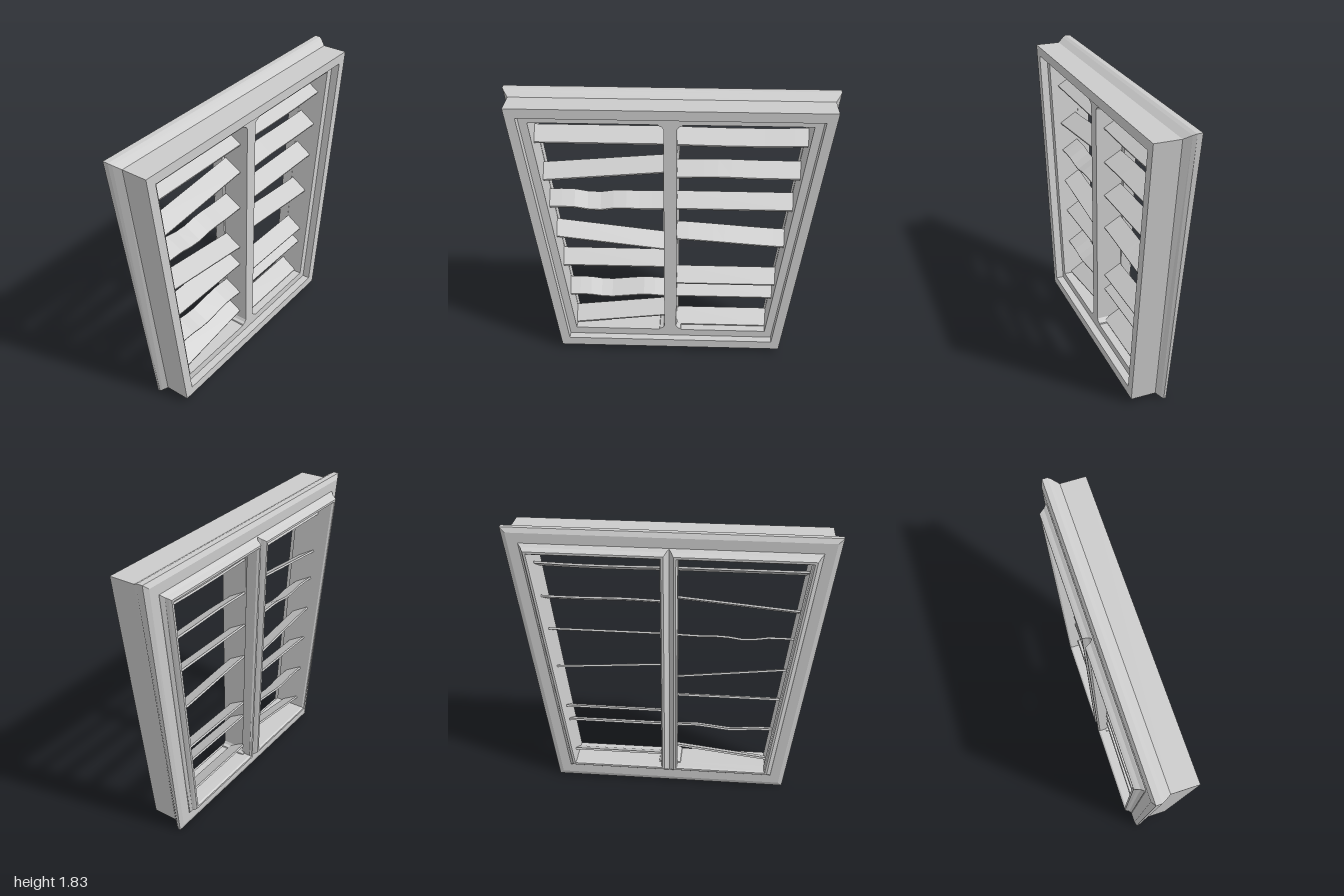
import * as THREE from 'three';

const material = new THREE.MeshStandardMaterial({ color: 0xcccccc, flatShading: true });
const TOP = 1.795, BOTTOM = 0.035, SLOPE = 0.1275;

// Half width of the tapered frame at height y, moved inward by d
const halfWidth = (y, d) => 0.735 + SLOPE * (y - BOTTOM) - d * 1.008;

// Skin a list of equal cross-sections; each cross-section is a closed loop
function loft(sections, closed) {
  const positions = [];
  const count = closed ? sections.length : sections.length - 1;
  for (let i = 0; i < count; i++) {
    const s = sections[i], t = sections[(i + 1) % sections.length];
    for (let j = 0; j < s.length; j++) {
      const k = (j + 1) % s.length;
      positions.push(...s[j], ...t[k], ...t[j], ...s[j], ...s[k], ...t[k]);
    }
  }
  const geometry = new THREE.BufferGeometry();
  geometry.setAttribute('position', new THREE.Float32BufferAttribute(positions, 3));
  geometry.computeVertexNormals();
  return geometry;
}

// Mitred frame: profile points are [inset, z at the top, z at the bottom]
function mitredFrame(profile, outline) {
  const sections = [0, 1, 2, 3].map((corner) => profile.map(([d, zTop, zBottom]) => {
    const [x, y] = outline(d)[corner];
    return [x, y, THREE.MathUtils.mapLinear(y, BOTTOM, TOP, zBottom, zTop)];
  }));
  return loft(sections, true);
}

// Corners run counter-clockwise from bottom left
function fullOutline(d) {
  const yb = BOTTOM + d, yt = TOP - d;
  const xb = halfWidth(yb, d), xt = halfWidth(yt, d);
  return [[-xb, yb], [xb, yb], [xt, yt], [-xt, yt]];
}

function halfOutline(side, d) {
  const [, br, tr] = fullOutline(d);
  const inner = Math.max(0, d - 0.06);
  return side > 0
    ? [[inner, br[1]], br, tr, [inner, tr[1]]]
    : [[-br[0], br[1]], [-inner, br[1]], [-inner, tr[1]], [-tr[0], tr[1]]];
}

// Tilted slat; heights are those of its upper back edge from left to right
function slat(side, heights) {
  const section = [[-0.05, 0], [0.06, -0.064], [0.055, -0.076], [-0.055, -0.012]];
  const curve = new THREE.SplineCurve(heights.map((h, i) => new THREE.Vector2(i / (heights.length - 1), h)));
  const steps = heights.length > 2 ? 9 : 1;
  const sections = [];
  for (let i = 0; i <= steps; i++) {
    const u = i / steps;
    const y0 = heights.length > 2 ? curve.getPoint(u).y : THREE.MathUtils.lerp(heights[0], heights[1], u);
    sections.push(section.map(([z, dy]) => {
      const y = y0 + dy, wall = halfWidth(y, 0.105), post = 0.035;
      const x = side > 0 ? THREE.MathUtils.lerp(post, wall, u) : THREE.MathUtils.lerp(-wall, -post, u);
      return [x, y, z];
    }));
  }
  return loft(sections, false);
}

export function createModel() {
  const model = new THREE.Group();
  const add = (name, geometry, parent = model) => {
    const mesh = new THREE.Mesh(geometry, material);
    mesh.name = name;
    parent.add(mesh);
    return mesh;
  };

  // Outer frame with flared rear flange and stepped front rebate
  add('outerFrame', mitredFrame([
    [0, 0.16, 0.16], [0, 0, 0], [-0.025, -0.04, -0.03], [-0.034, -0.06, -0.045],
    [-0.034, -0.093, -0.06], [-0.005, -0.108, -0.07], [0.11, -0.108, -0.07],
    [0.11, 0.11, 0.11], [0.06, 0.11, 0.11], [0.06, 0.16, 0.16],
  ], fullOutline));

  // Rear casing around each opening, with a coved outer edge
  const casing = [
    [0.05, -0.08, -0.04], [0.06, -0.113, -0.075], [0.075, -0.13, -0.085], [0.082, -0.148, -0.1],
    [0.09, -0.163, -0.111], [0.104, -0.163, -0.111], [0.112, -0.15, -0.1], [0.112, -0.08, -0.04],
  ];
  for (const side of [-1, 1]) {
    add(side > 0 ? 'leftCasing' : 'rightCasing', mitredFrame(casing, (d) => halfOutline(side, d)));
  }

  // Centre post with flared ends
  const yb = BOTTOM + 0.105, yt = TOP - 0.105;
  const half = [[0.075, yb], [0.07, yb + 0.012], [0.05, yb + 0.02], [0.04, yb + 0.035],
    [0.04, yt - 0.035], [0.05, yt - 0.02], [0.07, yt - 0.012], [0.075, yt]];
  const outline = [...half, ...half.map(([x, y]) => [-x, y]).reverse()];
  const post = new THREE.ExtrudeGeometry(
    new THREE.Shape(outline.map(([x, y]) => new THREE.Vector2(x, y))), { depth: 0.17, bevelEnabled: false });
  post.translate(0, 0, -0.06);
  add('centrePost', post);

  // Uneven slats, some slanted or warped
  const slats = {
    '-1': [[1.6, 1.6], [1.34, 1.408], [1.148, 1.15, 1.13, 1.147, 1.143, 1.147], [0.925, 0.84],
      [0.7, 0.7], [0.46, 0.46, 0.445, 0.457, 0.47, 0.46], [0.22, 0.297]],
    '1': [[1.598, 1.594, 1.594, 1.6], [1.375, 1.381, 1.376, 1.376], [1.15, 1.15],
      [0.923, 0.908, 0.89, 0.876], [0.57, 0.57], [0.463, 0.463], [0.22, 0.22]],
  };
  for (const side of [-1, 1]) {
    const group = new THREE.Group();
    group.name = side > 0 ? 'leftSlats' : 'rightSlats';
    model.add(group);
    slats[side].forEach((heights) => add('slat', slat(side, heights), group));
  }
  return model;
}
